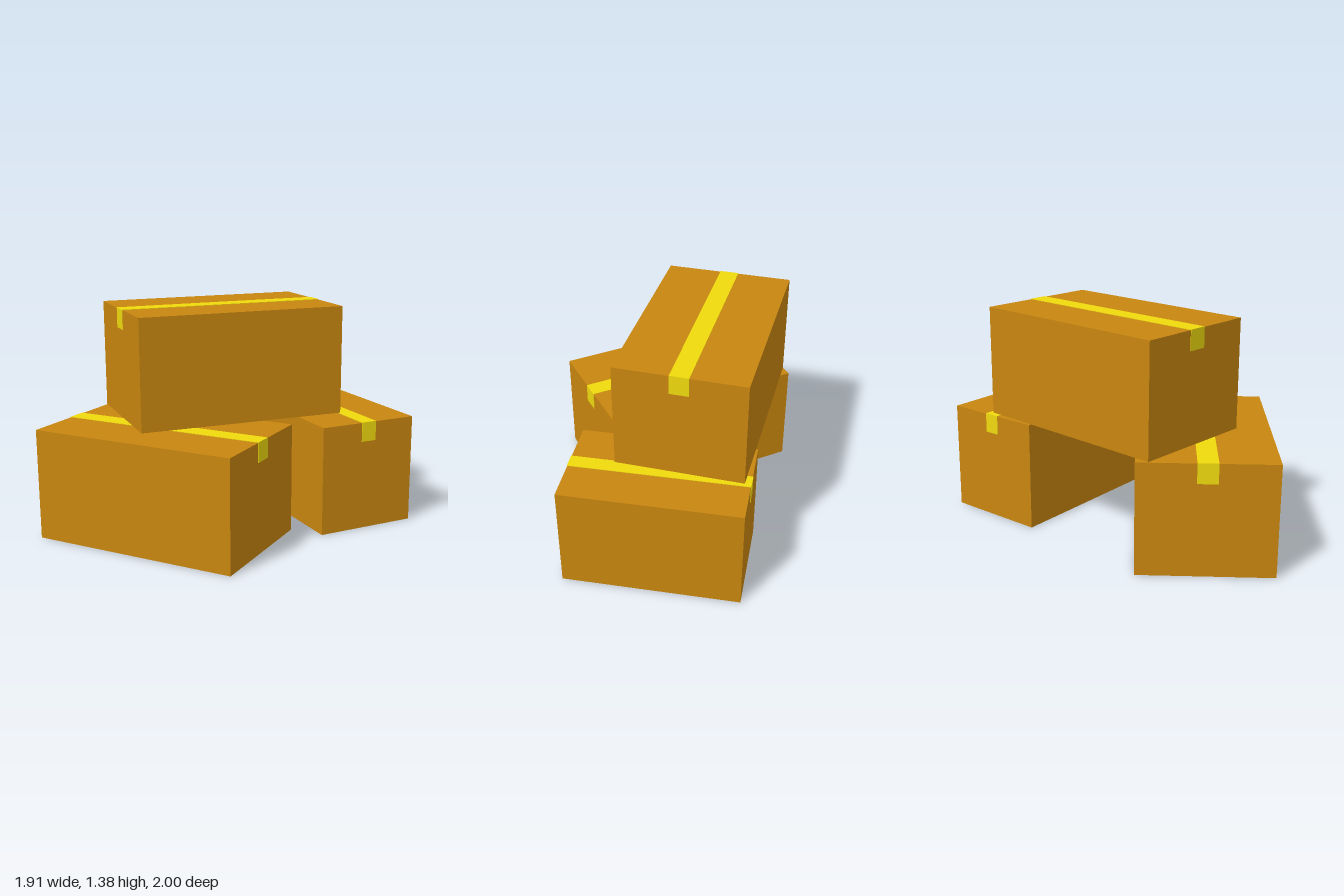
import * as THREE from 'three';

const H = 0.685; // carton height
const T = 0.003; // tape thickness
const FLAP = 0.12; // tape length folded over each end

const cardboard = new THREE.MeshStandardMaterial({ color: 0xc8860f });
const tapeYellow = new THREE.MeshStandardMaterial({ color: 0xf0da0e });

function addBox(parent, name, material, size, position) {
  const mesh = new THREE.Mesh(new THREE.BoxGeometry(...size), material);
  mesh.name = name;
  mesh.position.set(...position);
  parent.add(mesh);
}

// Closed carton with a strip of tape along its top, folded down both ends
function makeCarton({ name, length, width, tape, x, y, z, degrees }) {
  const carton = new THREE.Group();
  carton.name = name;
  addBox(carton, 'cartonBody', cardboard, [length, H, width], [0, H / 2, 0]);
  addBox(carton, 'topTape', tapeYellow, [length + 2 * T, T, tape], [0, H + T / 2, 0]);
  for (const side of [-1, 1]) {
    addBox(carton, side > 0 ? 'leftTapeFlap' : 'rightTapeFlap', tapeYellow,
      [T, FLAP, tape], [side * (length + T) / 2, H - FLAP / 2, 0]);
  }
  carton.position.set(x, y, z);
  carton.rotation.y = THREE.MathUtils.degToRad(degrees);
  return carton;
}

export function createModel() {
  const model = new THREE.Group();
  model.name = 'cartonStack';
  const cartons = [
    { name: 'frontCarton', length: 1.315, width: 0.81, tape: 0.12, x: -0.298, y: 0, z: 0.595, degrees: 0 },
    { name: 'backCarton', length: 1.123, width: 0.651, tape: 0.1, x: 0.31, y: 0, z: -0.405, degrees: -36.3 },
    { name: 'topCarton', length: 1.317, width: 0.81, tape: 0.12, x: -0.218, y: H + T, z: 0.029, degrees: 49.3 },
  ];
  for (const carton of cartons) model.add(makeCarton(carton));
  return model;
}
